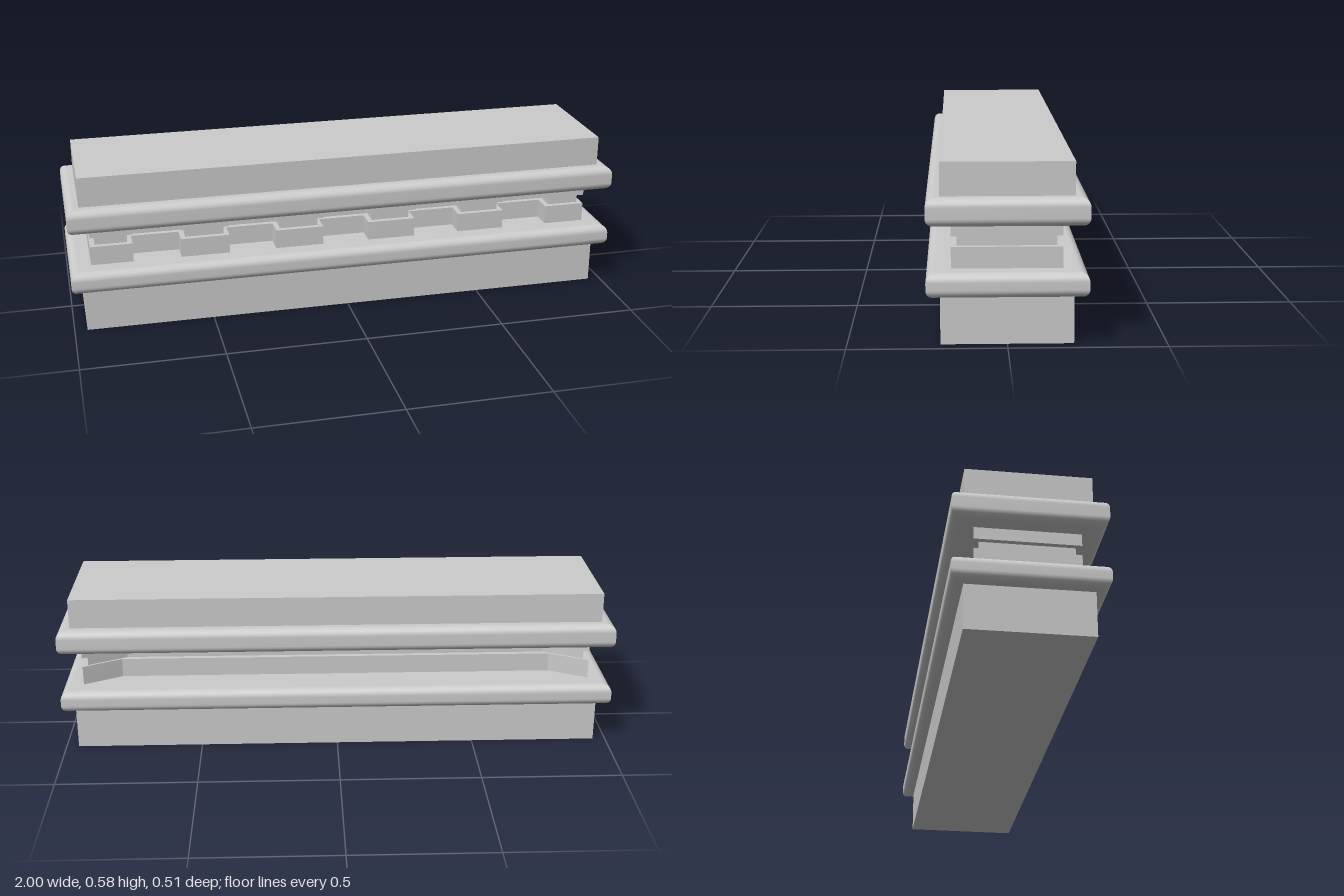
import * as THREE from 'three';

const grey = new THREE.MeshStandardMaterial({ color: 0xcccccc });

function addMesh(parent, name, geometry, y = 0) {
  const mesh = new THREE.Mesh(geometry, grey);
  mesh.name = name;
  mesh.position.y = y;
  parent.add(mesh);
}

// Box standing between two heights
function addBlock(parent, name, halfX, halfZ, y0, y1) {
  addMesh(parent, name, new THREE.BoxGeometry(halfX * 2, y1 - y0, halfZ * 2), (y0 + y1) / 2);
}

// Rounded moulding swept round a rectangle with mitred corners
function roundedRim(halfX, halfZ, height, radius) {
  const profile = []; // [inset, y] from bottom to top
  const steps = 8;
  for (let i = 0; i <= steps; i++) {
    const a = (i / steps) * Math.PI / 2;
    profile.push([radius * (1 - Math.sin(a)), radius * (1 - Math.cos(a))]);
  }
  for (let i = steps; i >= 0; i--) profile.push([profile[i][0], height - profile[i][1]]);

  const corners = [[1, 1], [1, -1], [-1, -1], [-1, 1]];
  const positions = [], index = [];
  corners.forEach((a, side) => {
    const b = corners[(side + 1) % 4];
    const start = positions.length / 3;
    profile.forEach(([inset, y], i) => {
      for (const [sx, sz] of [a, b]) positions.push(sx * (halfX - inset), y, sz * (halfZ - inset));
      if (i === 0) return;
      const p = start + (i - 1) * 2;
      index.push(p, p + 1, p + 3, p, p + 3, p + 2);
    });
  });
  const geometry = new THREE.BufferGeometry();
  geometry.setAttribute('position', new THREE.Float32BufferAttribute(positions, 3));
  geometry.setIndex(index);
  geometry.computeVertexNormals();
  return geometry;
}

function addBand(parent, name, y0, y1) {
  const band = new THREE.Group();
  const radius = 0.028;
  band.name = name;
  addMesh(band, 'roundedRim', roundedRim(1, 0.253, y1 - y0, radius), y0);
  addBlock(band, 'bandCore', 1 - radius, 0.253 - radius, y0, y1);
  parent.add(band);
}

// Frieze plan: toothed front, long back recess with slanted ends
function friezeLayer(inset, height) {
  const endX = 0.925 - inset, face = 0.175 - inset, recess = 0.105 - inset;
  const pitch = 0.345, halfGap = 0.085 + inset;
  const points = [[-endX, -face]];
  for (let i = -2; i <= 2; i++) {
    const left = i * pitch - halfGap, right = i * pitch + halfGap;
    points.push([left, -face], [left, -recess], [right, -recess], [right, -face]);
  }
  points.push([endX, -face], [endX, face], [0.79 - inset, recess], [-0.79 + inset, recess], [-endX, face]);
  const shape = new THREE.Shape(points.map(([x, y]) => new THREE.Vector2(x, y)));
  return new THREE.ExtrudeGeometry(shape, { depth: height, bevelEnabled: false }).rotateX(-Math.PI / 2);
}

export function createModel() {
  const model = new THREE.Group();
  model.name = 'moulding';

  // Plain blocks at foot and head
  addBlock(model, 'baseBlock', 0.955, 0.209, 0, 0.156);
  addBlock(model, 'topBlock', 0.955, 0.209, 0.47, 0.577);

  // Projecting rounded bands
  addBand(model, 'lowerBand', 0.156, 0.235);
  addBand(model, 'upperBand', 0.38, 0.47);

  // Three-layer toothed frieze between the bands
  const layers = [
    ['lowerFrieze', 0, 0.235, 0.304],
    ['middleFrieze', 0.018, 0.304, 0.338],
    ['upperFrieze', 0, 0.338, 0.38],
  ];
  for (const [name, inset, y0, y1] of layers) addMesh(model, name, friezeLayer(inset, y1 - y0), y0);

  return model;
}
